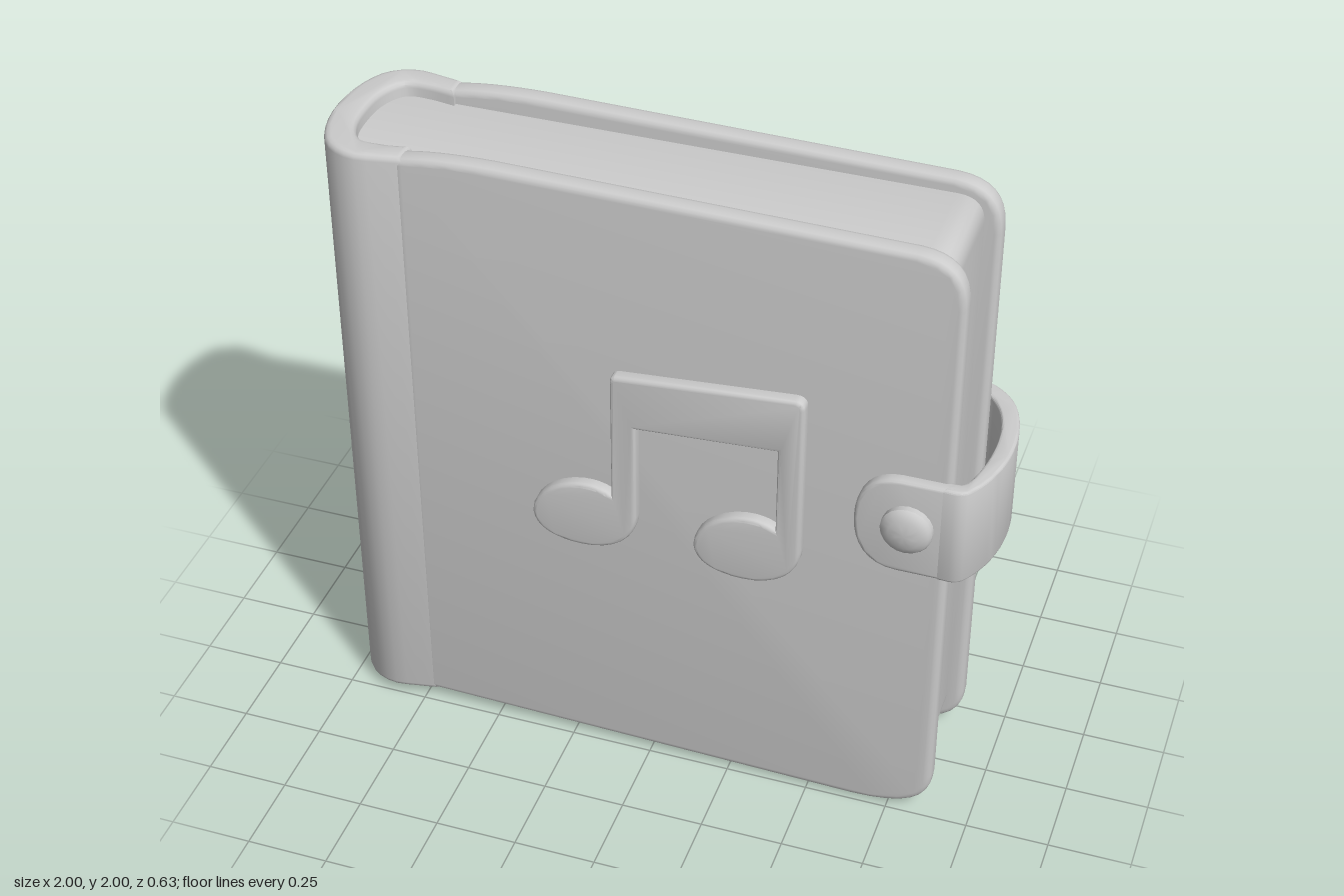
import * as THREE from 'three';
import { toCreasedNormals } from 'three/addons/utils/BufferGeometryUtils.js';

const CENTRE_Z = 0.01; // middle of the book's thickness
const material = new THREE.MeshStandardMaterial({ color: 0xcccccc, side: THREE.DoubleSide });

// Extrude a shape from a to b along z with rounded edges that stay inside the outline
function slab(shape, a, b, bevel, curveSegments = 8) {
  const geo = new THREE.ExtrudeGeometry(shape, {
    depth: b - a - 2 * bevel, bevelEnabled: true, bevelThickness: bevel,
    bevelSize: bevel, bevelOffset: -bevel, bevelSegments: 3, curveSegments,
  });
  geo.translate(0, 0, a + bevel);
  return geo;
}

function add(group, name, geo) {
  const mesh = new THREE.Mesh(toCreasedNormals(geo, 0.6), material);
  mesh.name = name;
  group.add(mesh);
  return mesh;
}

// Closed band seen from above: outer and inner [x, z] curves, raised from y0 to y1
function band(outer, inner, y0, y1, bevel) {
  const curve = (pts) => new THREE.SplineCurve(pts.map(([x, z]) => new THREE.Vector2(x, -z))).getPoints(28);
  const shape = new THREE.Shape([...curve(outer), ...curve(inner).reverse()]);
  return slab(shape, y0, y1, bevel).rotateX(-Math.PI / 2);
}

// Mirror a half profile of [x, halfWidth] about the book's middle; the last point lies on it
function mirrored(half) {
  const front = half.map(([x, w]) => [x, CENTRE_Z + w]);
  const back = half.slice(0, -1).reverse().map(([x, w]) => [x, CENTRE_Z - w]);
  return [...front, ...back];
}

function coverShape() {
  const s = new THREE.Shape();
  s.moveTo(-0.74, 0.04);
  s.lineTo(0.64, 0.005);
  s.bezierCurveTo(0.8, 0.005, 0.88, 0.05, 0.88, 0.15);
  s.lineTo(0.88, 1.83);
  s.bezierCurveTo(0.88, 1.93, 0.83, 1.975, 0.74, 1.98);
  s.lineTo(-0.45, 2);
  s.quadraticCurveTo(-0.64, 2, -0.74, 1.975);
  s.closePath();
  return s;
}

function pageShape() {
  const s = new THREE.Shape();
  s.moveTo(-0.92, 0.06);
  s.lineTo(0.75, 0.06);
  s.quadraticCurveTo(0.83, 0.06, 0.83, 0.14);
  s.lineTo(0.83, 1.86);
  s.quadraticCurveTo(0.83, 1.94, 0.75, 1.94);
  s.lineTo(-0.92, 1.94);
  s.closePath();
  return s;
}

// Pair of beamed notes as one outline
function noteShape() {
  const s = new THREE.Shape();
  const head = (x) => {
    s.lineTo(x, 0.93);
    s.bezierCurveTo(x, 0.85, x - 0.07, 0.79, x - 0.17, 0.79);
    s.bezierCurveTo(x - 0.26, 0.79, x - 0.315, 0.82, x - 0.32, 0.88);
    s.bezierCurveTo(x - 0.32, 0.96, x - 0.22, 1.02, x - 0.14, 1.015);
    s.quadraticCurveTo(x - 0.1, 1.012, x - 0.075, 0.995);
  };
  s.moveTo(-0.105, 1.4);
  s.quadraticCurveTo(-0.105, 1.418, -0.085, 1.42);
  s.lineTo(0.43, 1.46);
  s.quadraticCurveTo(0.462, 1.46, 0.462, 1.43);
  head(0.462);
  s.lineTo(0.387, 1.275);
  s.lineTo(-0.03, 1.25);
  head(-0.03);
  s.closePath();
  return s;
}

// Strap end with a rounded inner edge
function tabShape(x0, x1) {
  const s = new THREE.Shape();
  s.moveTo(x1, 0.94);
  s.lineTo(x1, 1.26);
  s.lineTo(x0 + 0.13, 1.26);
  s.bezierCurveTo(x0 + 0.04, 1.26, x0, 1.19, x0, 1.1);
  s.bezierCurveTo(x0, 1.01, x0 + 0.04, 0.94, x0 + 0.13, 0.94);
  s.closePath();
  return s;
}

export function createModel() {
  const book = new THREE.Group();
  book.name = 'clasped book';

  // Page block and the two cover boards
  add(book, 'pages', slab(pageShape(), CENTRE_Z - 0.168, CENTRE_Z + 0.168, 0.004));
  add(book, 'frontCover', slab(coverShape(), 0.172, 0.237, 0.02));
  add(book, 'backCover', slab(coverShape(), -0.217, -0.152, 0.02));

  // Rounded spine wrapping the left edge
  const spineOuter = mirrored([[-0.71, 0.224], [-0.77, 0.236], [-0.86, 0.246], [-0.94, 0.205], [-0.985, 0.115], [-1, 0]]);
  const spineInner = mirrored([[-0.71, 0.15], [-0.79, 0.162], [-0.86, 0.155], [-0.9, 0.09], [-0.91, 0]]);
  add(book, 'spine', band(spineOuter, spineInner, 0.035, 1.985, 0.018));

  // Raised notes on both covers
  add(book, 'frontNotes', slab(noteShape(), 0.22, 0.273, 0.012));
  add(book, 'backNotes', slab(noteShape(), -0.267, -0.2, 0.012));

  // Clasp strap: two tabs joined by a bend around the page edge
  const clasp = new THREE.Group();
  clasp.name = 'clasp';
  add(clasp, 'frontTab', slab(tabShape(0.61, 0.9), 0.222, 0.268, 0.012));
  add(clasp, 'backTab', slab(tabShape(0.6, 0.8), -0.285, -0.235, 0.012));
  const bendOuter = [[0.86, 0.268], [0.92, 0.262], [0.965, 0.19], [0.992, 0.1], [1, 0], [0.985, -0.11], [0.945, -0.2], [0.87, -0.262], [0.76, -0.285]];
  const bendInner = [[0.86, 0.224], [0.905, 0.222], [0.928, 0.17], [0.943, 0.09], [0.948, 0], [0.936, -0.09], [0.905, -0.165], [0.85, -0.22], [0.76, -0.236]];
  add(clasp, 'strapBend', band(bendOuter, bendInner, 0.94, 1.26, 0.008));

  // Domed rivets
  const profile = [[0.075, -0.09], [0.075, 0.02], [0.068, 0.03], [0.048, 0.039], [0.025, 0.044], [0, 0.046]]
    .map(([r, h]) => new THREE.Vector2(r, h));
  for (const [name, side, z] of [['frontRivet', 1, 0.266], ['backRivet', -1, -0.275]]) {
    const rivet = add(clasp, name, new THREE.LatheGeometry(profile, 20));
    rivet.rotation.x = side * Math.PI / 2;
    rivet.position.set(0.767, 1.105, z);
  }
  book.add(clasp);
  return book;
}
